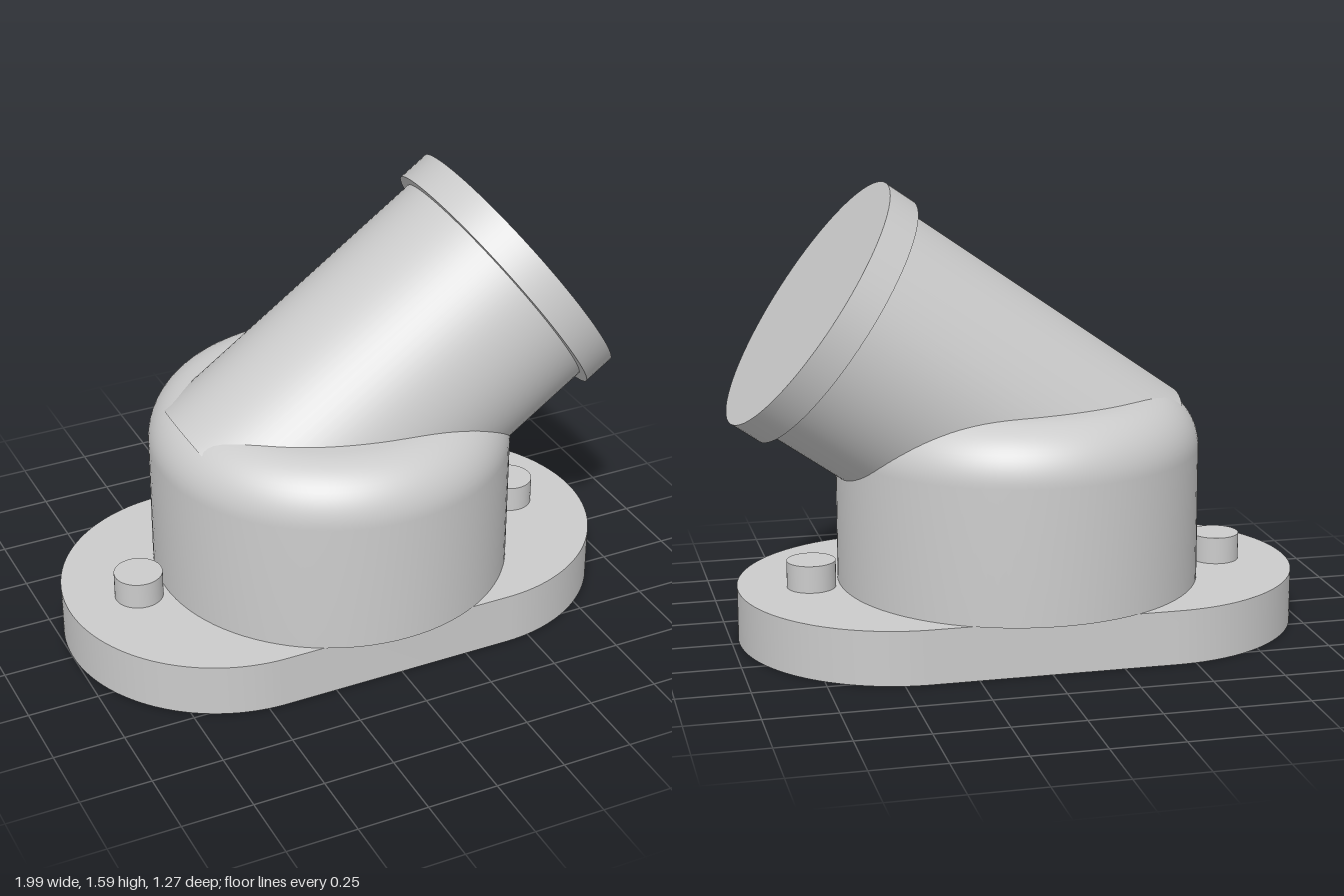
import * as THREE from 'three';
import { toCreasedNormals } from 'three/addons/utils/BufferGeometryUtils.js';

const CX = -0.0125; // centre of the base and housing

export function createModel() {
  const model = new THREE.Group();
  model.name = 'angledPipeFitting';
  const material = new THREE.MeshStandardMaterial({ color: 0xcccccc });

  const add = (name, geometry, parent = model) => {
    const mesh = new THREE.Mesh(geometry, material);
    mesh.name = name;
    parent.add(mesh);
    return mesh;
  };

  // Base flange: a slot-shaped plate
  const flangeRadius = 0.565, halfRun = 0.9875 - flangeRadius, flangeTop = 0.19;
  const outline = new THREE.Shape();
  outline.absarc(halfRun, 0, flangeRadius, -Math.PI / 2, Math.PI / 2);
  outline.absarc(-halfRun, 0, flangeRadius, Math.PI / 2, Math.PI * 1.5);
  outline.closePath();
  const flange = new THREE.ExtrudeGeometry(outline, {
    depth: flangeTop, bevelEnabled: false, curveSegments: 48,
  });
  flange.rotateX(-Math.PI / 2);
  add('baseFlange', toCreasedNormals(flange, 0.5)).position.x = CX;

  // Bolt heads at both ends of the flange
  for (const side of [-1, 1]) {
    const bolt = add(side < 0 ? 'rightBolt' : 'leftBolt',
      new THREE.CylinderGeometry(0.085, 0.085, 0.125, 40));
    bolt.position.set(CX + side * 0.7325, 0.2225, 0);
  }

  // Round housing with a filleted top edge
  const radius = 0.633, top = 0.85, fillet = 0.19;
  const profile = [new THREE.Vector2(0, flangeTop), new THREE.Vector2(radius, flangeTop)];
  for (let i = 0; i <= 16; i++) {
    const a = (i / 16) * Math.PI / 2;
    profile.push(new THREE.Vector2(
      radius - fillet + fillet * Math.cos(a), top - fillet + fillet * Math.sin(a)));
  }
  profile.push(new THREE.Vector2(0, top));
  add('housing', toCreasedNormals(new THREE.LatheGeometry(profile, 96), 0.5)).position.x = CX;

  // Spout tilted toward +x; its local origin is the centre of the outer face
  const spout = new THREE.Group();
  spout.name = 'spout';
  spout.position.set(0.7175, 1.19, 0);
  spout.rotation.z = -THREE.MathUtils.degToRad(55);
  model.add(spout);

  const pipeLength = 1.223;
  add('pipe', new THREE.CylinderGeometry(0.445, 0.445, pipeLength, 96), spout)
    .position.y = -0.05 - pipeLength / 2;
  add('endCollar', new THREE.CylinderGeometry(0.483, 0.483, 0.115, 96), spout)
    .position.y = -0.0575;

  return model;
}
